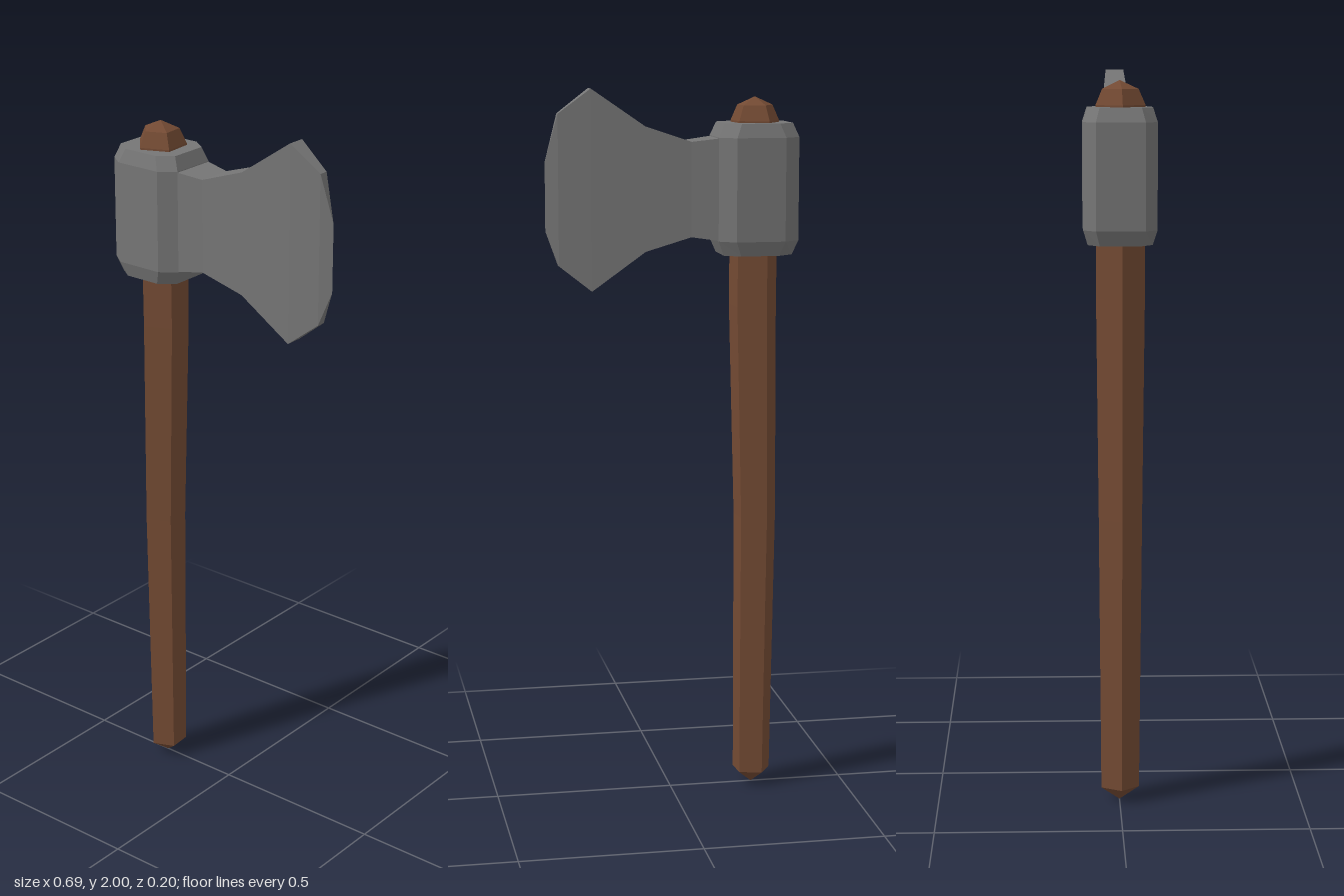
import * as THREE from 'three';

const steel = new THREE.MeshStandardMaterial({ color: 0x757575, flatShading: true });
const wood = new THREE.MeshStandardMaterial({ color: 0x734a33, flatShading: true });

// Skins a list of rings (equal point counts) and closes both ends.
function loft(name, rings, material) {
  const pos = [];
  const tri = (a, b, c) => {
    const area = b.clone().sub(a).cross(c.clone().sub(a)).length();
    if (area > 1e-8) for (const p of [a, b, c]) pos.push(p.x, p.y, p.z);
  };
  const n = rings[0].length;
  for (let r = 0; r < rings.length - 1; r++) {
    for (let i = 0; i < n; i++) {
      const j = (i + 1) % n;
      tri(rings[r][i], rings[r + 1][i], rings[r + 1][j]);
      tri(rings[r][i], rings[r + 1][j], rings[r][j]);
    }
  }
  const first = rings[0], last = rings[rings.length - 1];
  for (let i = 1; i < n - 1; i++) {
    tri(first[0], first[i], first[i + 1]);
    tri(last[0], last[i + 1], last[i]);
  }
  const geometry = new THREE.BufferGeometry();
  geometry.setAttribute('position', new THREE.Float32BufferAttribute(pos, 3));
  geometry.computeVertexNormals();
  const mesh = new THREE.Mesh(geometry, material);
  mesh.name = name;
  return mesh;
}

const v = (x, y, z) => new THREE.Vector3(x, y, z);

// Five-sided ring for the handle
function pentagon([y, cx, r]) {
  return Array.from({ length: 5 }, (_, i) => {
    const a = THREE.MathUtils.degToRad(31 + i * 72);
    return v(cx + r * Math.cos(a), y, r * Math.sin(a));
  });
}

// Octagonal ring for the collar, from outer half sizes and flat half sizes
function octagon([y, hx, hz, fx, fz]) {
  const corners = [[hx, -fz], [hx, fz], [fx, hz], [-fx, hz], [-hx, fz], [-hx, -fz], [-fx, -hz], [fx, -hz]];
  return corners.map(([x, z]) => v(-0.235 + x, y, z));
}

export function createModel() {
  const axe = new THREE.Group();
  axe.name = 'axe';

  // Slightly bowed handle: y, centre x, radius
  const handle = [
    [0.005, -0.238, 0], [0.045, -0.238, 0.055], [0.8, -0.243, 0.062],
    [1.4, -0.233, 0.069], [1.91, -0.236, 0.07], [1.952, -0.236, 0.051], [1.975, -0.236, 0],
  ];
  axe.add(loft('handle', handle.map(pentagon), wood));

  // Bevelled collar around the handle
  const collar = [
    [1.545, 0.096, 0.086, 0.053, 0.055], [1.585, 0.112, 0.098, 0.068, 0.065],
    [1.867, 0.112, 0.098, 0.068, 0.065], [1.905, 0.096, 0.086, 0.053, 0.055],
  ];
  axe.add(loft('collar', collar.map(octagon), steel));

  // Flared blade narrowing to a sharp edge: x, low y, high y, half thickness
  const blade = [
    [-0.123, 1.587, 1.865, 0.065], [-0.05, 1.597, 1.856, 0.051], [0.075, 1.558, 1.898, 0.039],
    [0.222, 1.45, 2.0, 0.025], [0.311, 1.52, 1.933, 0.013], [0.346, 1.615, 1.803, 0],
  ];
  axe.add(loft('blade', blade.map(([x, lo, hi, t]) =>
    [v(x, hi, t), v(x, hi, -t), v(x, lo, -t), v(x, lo, t)]), steel));

  return axe;
}
